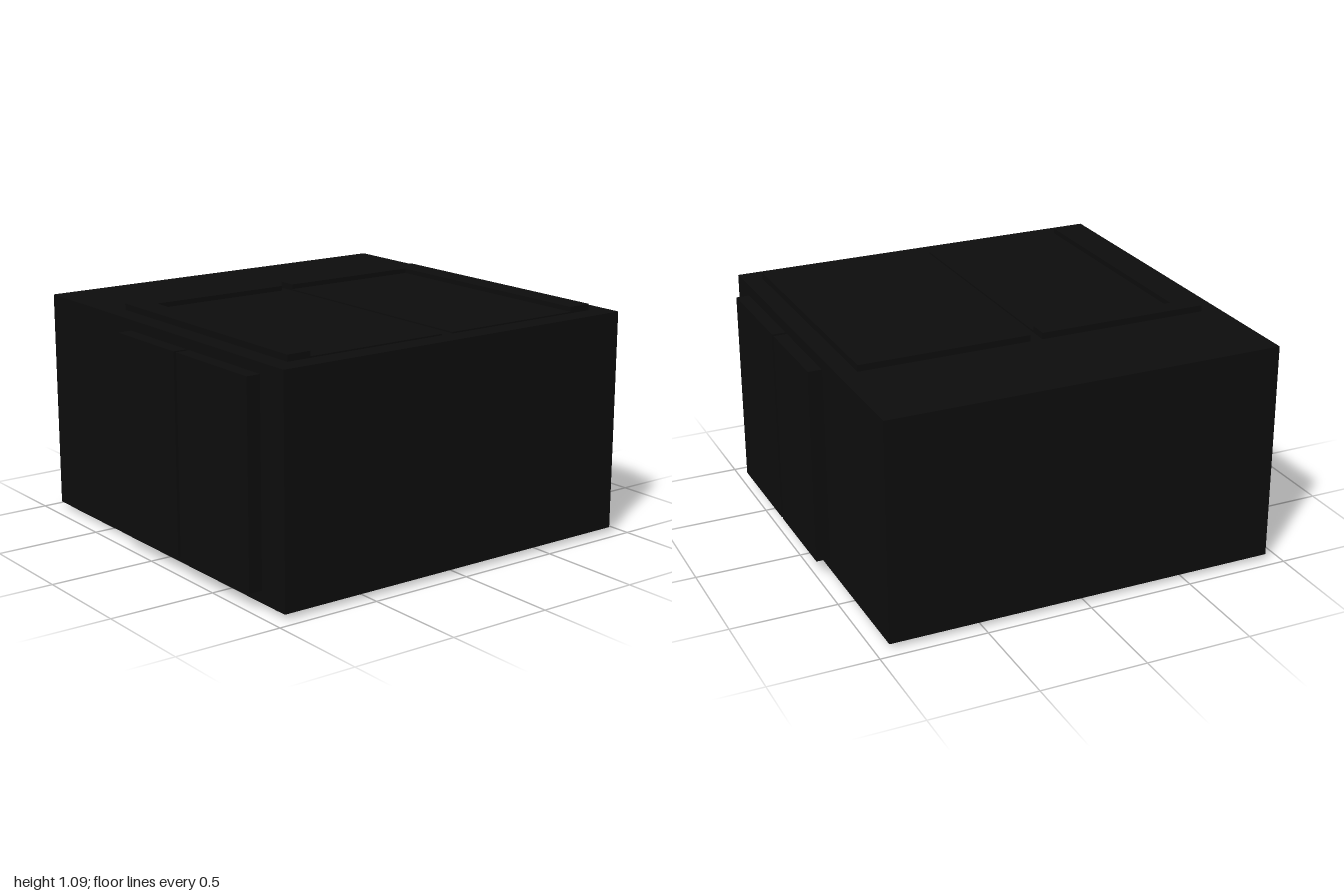
import * as THREE from 'three';

export function createModel() {
  const group = new THREE.Group();
  const black = new THREE.MeshStandardMaterial({ color: 0x0d0d0d });
  black.name = 'nearBlack';

  // box given by its min and max along each axis
  function block(name, [x0, x1], [y0, y1], [z0, z1]) {
    const mesh = new THREE.Mesh(new THREE.BoxGeometry(x1 - x0, y1 - y0, z1 - z0), black);
    mesh.position.set((x0 + x1) / 2, (y0 + y1) / 2, (z0 + z1) / 2);
    mesh.name = name;
    group.add(mesh);
  }
  // z range mirrored to the front (+1) or back (-1) half
  const span = (side, a, b) => (side > 0 ? [a, b] : [-b, -a]);

  block('body', [-0.945, 0.945], [0.025, 1.06], [-0.935, 0.935]);

  // base plates with a slot between them
  block('baseSmall', [-0.85, -0.495], [0, 0.025], [-0.9, 0.9]);
  block('baseLarge', [-0.43, 0.845], [0, 0.025], [-0.9, 0.9]);

  for (const side of [1, -1]) {
    const end = side > 0 ? 'front' : 'back';
    // two raised door panels on each end
    block(end + 'DoorNarrow', [-0.23, 0.23], [0.08, 1.01], span(side, 0.935, 1));
    block(end + 'DoorWide', [0.25, 0.78], [0.08, 1.01], span(side, 0.935, 1));
    // top tray: thin floor with an L-shaped raised rim
    block(end + 'TrayFloor', [-0.34, 0.845], [1.06, 1.067], span(side, 0.03, 0.73));
    block(end + 'TrayRimSide', [-0.43, -0.34], [1.06, 1.09], span(side, 0.03, 0.845));
    block(end + 'TrayRimEnd', [-0.34, 0.845], [1.06, 1.09], span(side, 0.73, 0.845));
  }
  return group;
}
